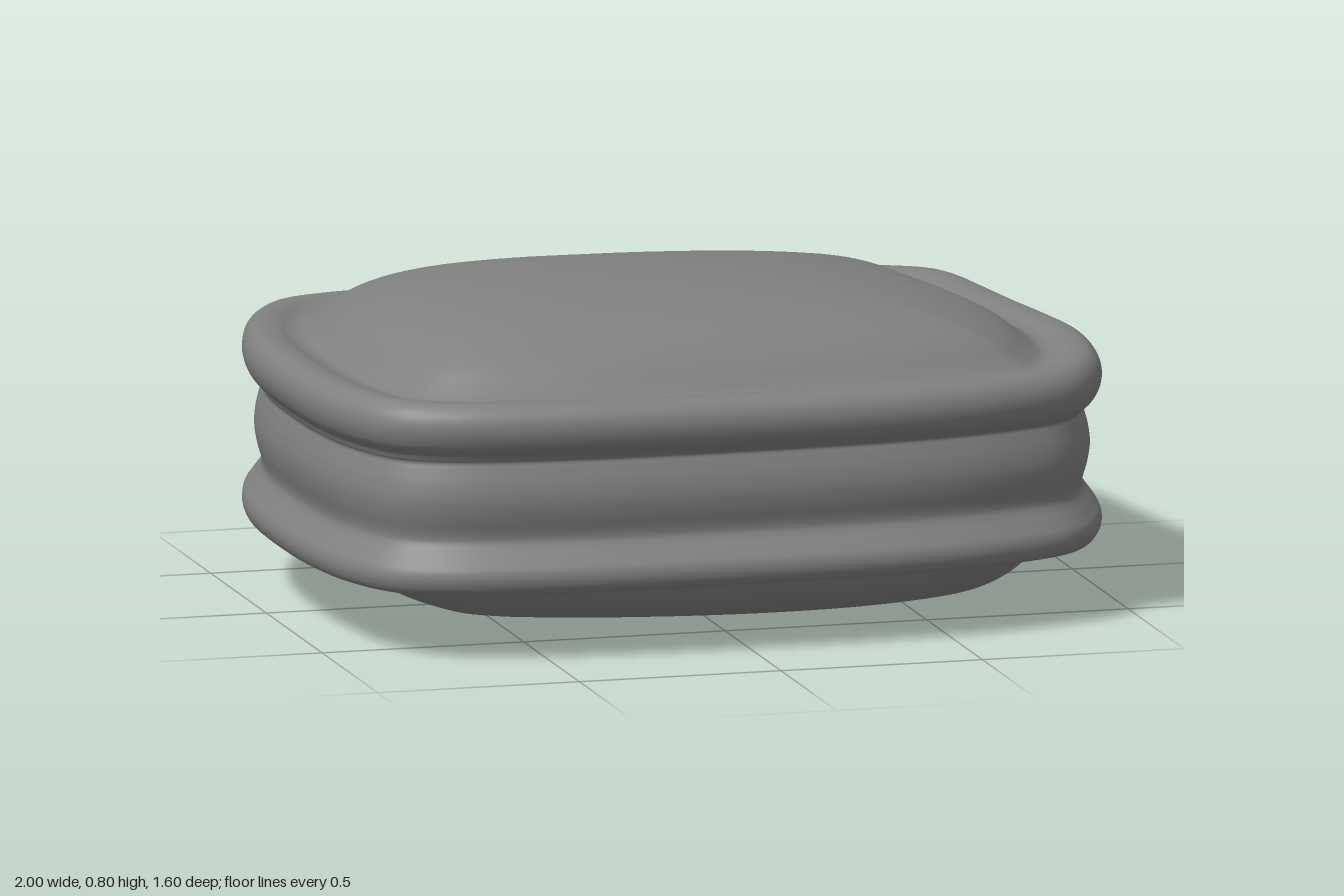
import * as THREE from 'three';

const SIDES = 144;
const STEPS = 176;

// Cushion outline seen from above as x, z, counter-clockwise
const outline = new THREE.CatmullRomCurve3([
  [-0.78, -0.69], [-0.88, -0.58], [-0.95, -0.4], [-0.99, -0.2], [-1, 0.03],
  [-0.99, 0.3], [-0.955, 0.5], [-0.88, 0.66], [-0.75, 0.74], [-0.5, 0.785],
  [-0.1, 0.8], [0.4, 0.78], [0.65, 0.73], [0.84, 0.64], [0.94, 0.47],
  [0.987, 0.28], [1, 0.1], [0.977, -0.08], [0.948, -0.25], [0.922, -0.43],
  [0.895, -0.59], [0.85, -0.68], [0.75, -0.74], [0.6, -0.785], [0.37, -0.8],
  [0.1, -0.78], [-0.2, -0.757], [-0.5, -0.758],
].map(([x, z]) => new THREE.Vector3(x, 0, z)), true);

// Cross-section from the top centre to the bottom centre: inset, scale, height
const profile = new THREE.CatmullRomCurve3([
  // padded top
  [0.15, 0, 0.799], [0.15, 0.25, 0.794], [0.15, 0.5, 0.777], [0.15, 0.7, 0.748],
  [0.15, 0.84, 0.71], [0.15, 0.92, 0.673], [0.15, 0.97, 0.637],
  // rolled edge around the top
  [0.145, 1, 0.617], [0.115, 1, 0.618], [0.08, 1, 0.63], [0.035, 1, 0.629],
  [0.008, 1, 0.605], [0, 1, 0.57], [0.012, 1, 0.53], [0.035, 1, 0.506], [0.048, 1, 0.492],
  // side wall, pinched beside both rolled edges
  [0.044, 1, 0.475], [0.034, 1, 0.44], [0.029, 1, 0.4], [0.034, 1, 0.36],
  [0.046, 1, 0.315], [0.045, 1, 0.295],
  // rolled edge around the bottom
  [0.02, 1, 0.258], [0.003, 1, 0.232], [0.001, 1, 0.205], [0.015, 1, 0.179],
  [0.06, 1, 0.168], [0.11, 1, 0.168],
  // padded underside
  [0.14, 1, 0.16], [0.14, 0.97, 0.138], [0.14, 0.93, 0.11], [0.14, 0.86, 0.08],
  [0.14, 0.75, 0.057], [0.14, 0.5, 0.029], [0.14, 0.25, 0.013], [0.14, 0, 0.01],
].map((v) => new THREE.Vector3(...v)));

// Sweeps the cross-section around the outline
function coverGeometry() {
  const rim = [];
  for (let j = 0; j < SIDES; j++) {
    rim.push({ p: outline.getPointAt(j / SIDES), t: outline.getTangentAt(j / SIDES) });
  }
  const pos = [], index = [];
  for (const { x: inset, y: scale, z: height } of profile.getPoints(STEPS)) {
    const lean = 1 - Math.pow(scale, 6);
    const zLean = height > 0.4 ? 0.02 : -0.032;
    for (const { p, t } of rim) {
      const ex = p.x + t.z * inset;
      const ez = p.z - t.x * inset;
      // rings turn from the squared outline into ovals towards the centre
      const round = THREE.MathUtils.lerp(1, 1 / Math.hypot(ex / 0.84, ez / 0.65), 1 - scale);
      const x = ex * scale * round;
      const z = ez * scale * round;
      // the padding leans slightly to one corner
      const tilt = (zLean * z - 0.022 * x) * lean;
      pos.push(x, height + tilt - (height > 0.5 ? 0.008 * x : 0), z);
    }
  }
  for (let i = 0; i < STEPS; i++) {
    for (let j = 0; j < SIDES; j++) {
      const k = (j + 1) % SIDES;
      const a = i * SIDES + j, b = i * SIDES + k;
      index.push(a, a + SIDES, b, b, a + SIDES, b + SIDES);
    }
  }
  const geo = new THREE.BufferGeometry();
  geo.setAttribute('position', new THREE.Float32BufferAttribute(pos, 3));
  geo.setIndex(index);
  geo.computeVertexNormals();
  return geo;
}

export function createModel() {
  const group = new THREE.Group();
  group.name = 'cushion';
  const cover = new THREE.Mesh(coverGeometry(), new THREE.MeshStandardMaterial({ color: 0x808080 }));
  cover.name = 'cushionCover';
  group.add(cover);
  return group;
}
